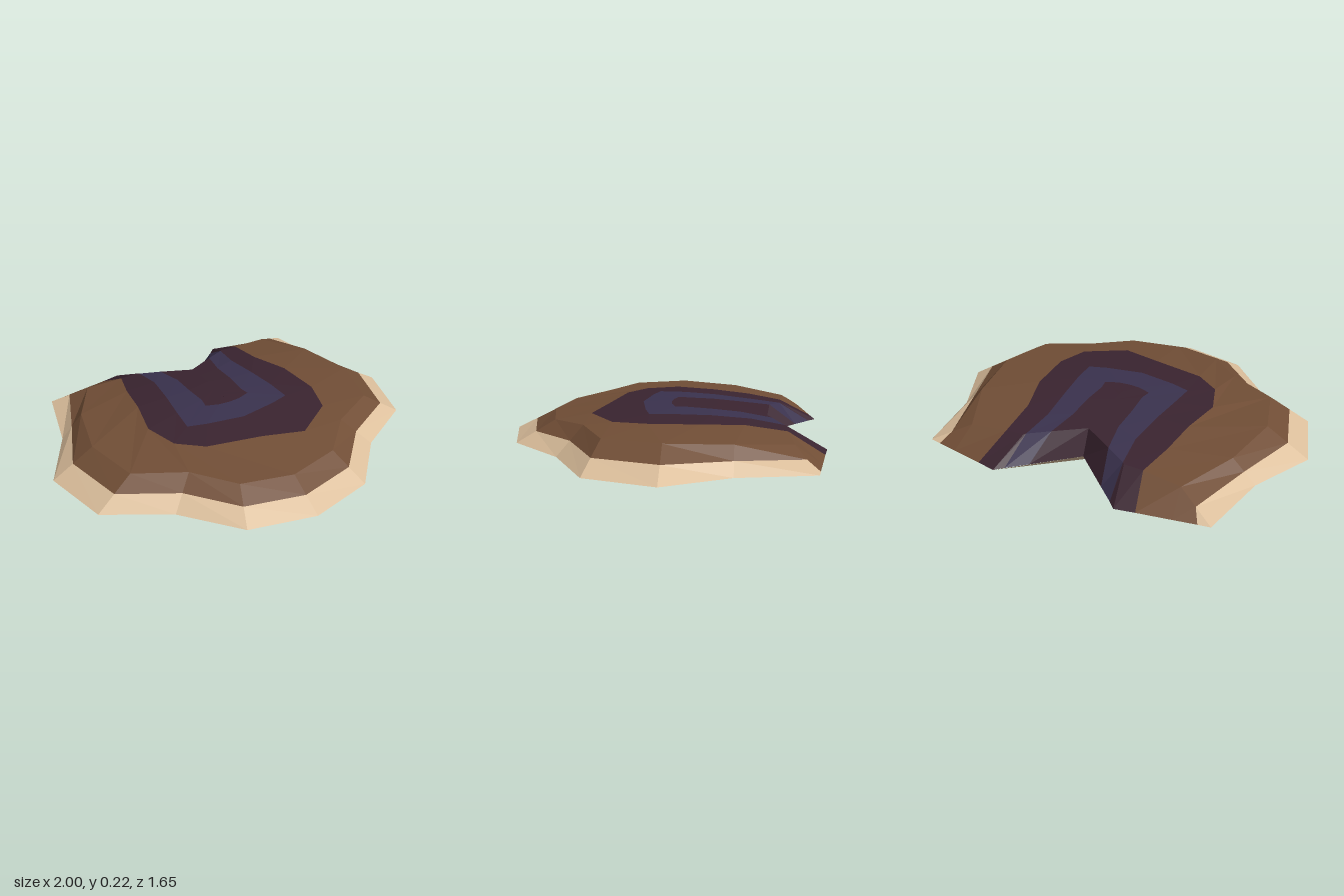
import * as THREE from 'three';

const RIM_Y = 0.065;

// Nested U-shaped contours, right half, as [x, z] from the back edge to the front centre.
// The first point lies on the back rim, the second on the crease above it.
const rim = [[0.77, -0.75], [0.77, -0.75], [0.84, -0.37], [1, -0.05], [0.9, 0.3], [0.58, 0.48], [0.34, 0.74], [0, 0.82]];
const crease = [[0.6, -0.78], [0.58, -0.65], [0.72, -0.37], [0.78, -0.05], [0.7, 0.24], [0.45, 0.37], [0.27, 0.55], [0, 0.61]];
const darkRight = [[0.43, -0.81], [0.38, -0.63], [0.39, -0.42], [0.46, -0.2], [0.48, 0.05], [0.43, 0.23], [0.22, 0.37], [0, 0.31]];
const darkLeft = [[0.43, -0.81], [0.38, -0.63], [0.42, -0.45], [0.44, -0.25], [0.48, -0.03], [0.42, 0.15], [0.29, 0.25], [0, 0.31]];
const blueOuter = [[0.29, -0.79], [0.27, -0.62], [0.25, -0.45], [0.27, -0.25], [0.29, -0.08], [0.3, 0.06], [0.2, 0.09], [0, 0.125]];
const corner = [[0.33, -0.83], [0.28, -0.63], ...blueOuter.slice(2)];
const blueInner = [[0.2, -0.71], [0.16, -0.56], [0.13, -0.4], [0.13, -0.25], [0.12, -0.12], [0.13, -0.06], [0.06, -0.035], [0, -0.03]];
const spine = [-0.53, -0.47, -0.38, -0.28, -0.2, -0.15, -0.12, -0.1].map(z => [0, z]);

// Gentle domes for the upper and lower surfaces
const topY = (x, z) => 0.225 - 0.046 * x * x - 0.14 * (z + 0.02) ** 2;
const bottomY = (x, z) => 0.057 * x * x + 0.07 * z * z;

// Full contour from a right half and a mirrored left half; back edge points sit on the rim
function contour(right, height, left = right) {
  const lift = side => ([x, z], j) =>
    new THREE.Vector3(x * side, j === 0 ? RIM_Y : height(x, z), z);
  return [...right.map(lift(1)), ...left.map(lift(-1)).reverse().slice(1)];
}

// Faceted surface through a list of contours, outermost first
function loft(contours, faceDown = false) {
  const pos = [];
  const triangle = (a, b, c) => {
    const area = new THREE.Triangle(a, b, c).getArea();
    if (area < 1e-7) return;
    for (const p of faceDown ? [a, c, b] : [a, b, c]) pos.push(p.x, p.y, p.z);
  };
  for (let i = 0; i < contours.length - 1; i++) {
    const outer = contours[i], inner = contours[i + 1];
    for (let j = 0; j < outer.length - 1; j++) {
      triangle(outer[j], inner[j + 1], outer[j + 1]);
      triangle(outer[j], inner[j], inner[j + 1]);
    }
  }
  const geometry = new THREE.BufferGeometry();
  geometry.setAttribute('position', new THREE.Float32BufferAttribute(pos, 3));
  geometry.computeVertexNormals();
  return geometry;
}

export function createModel() {
  const material = (name, color) => {
    const m = new THREE.MeshStandardMaterial({ color });
    m.name = name;
    return m;
  };
  const cream = material('cream', 0xdcbf9c);
  const brown = material('brown', 0x714e36);
  const purple = material('dark purple', 0x3a2430);
  const blue = material('dusky blue', 0x3a324e);

  // Upper contours
  const edge = contour(rim, () => RIM_Y);
  const shoulder = contour(crease, topY);
  const border = edge.map((p, i) => p.clone().lerp(shoulder[i], 0.5));
  border[0].set(0.71, RIM_Y, -0.76);
  border[border.length - 1].set(-0.71, RIM_Y, -0.76);
  const dark = contour(darkRight, topY, darkLeft);
  const notch = contour(corner, topY);
  const stripeOuter = contour(blueOuter, topY);
  const stripeInner = contour(blueInner, topY);
  const middle = contour(spine, topY);

  // Lower contours
  const lower = [crease, corner, spine].map(c => contour(c, bottomY));

  const model = new THREE.Group();
  model.name = 'shell';
  const add = (name, mat, contours, faceDown) => {
    const mesh = new THREE.Mesh(loft(contours, faceDown), mat);
    mesh.name = name;
    model.add(mesh);
  };
  add('paleRim', cream, [edge, border]);
  add('brownBand', brown, [border, shoulder, dark]);
  add('darkBand', purple, [dark, notch, stripeOuter]);
  add('blueStripe', blue, [stripeOuter, stripeInner]);
  add('darkCentre', purple, [stripeInner, middle]);
  add('underside', cream, [edge, ...lower], true);
  return model;
}
